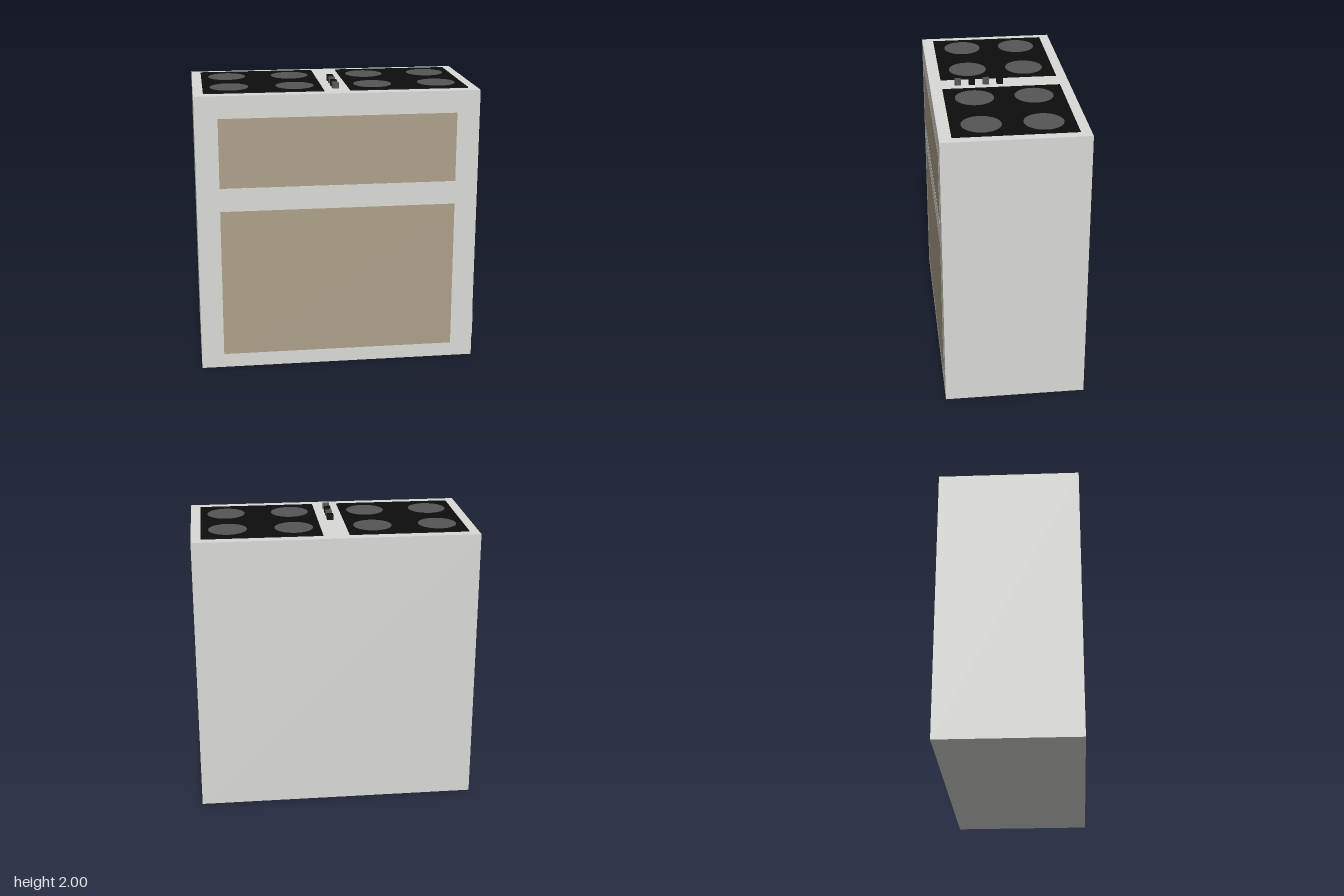
import * as THREE from 'three';

const material = (color) => new THREE.MeshStandardMaterial({ color });

export function createModel() {
  const model = new THREE.Group();
  const enamel = material(0xd9dad5);
  const glass = material(0xaca089);
  const black = material(0x0d0d0d);
  const grey = material(0x555555);

  const add = (name, geometry, mat, x, y, z) => {
    const mesh = new THREE.Mesh(geometry, mat);
    mesh.name = name;
    mesh.position.set(x, y, z);
    model.add(mesh);
    return mesh;
  };
  const box = (name, size, mat, x, y, z) =>
    add(name, new THREE.BoxGeometry(...size), mat, x, y, z);

  const H = 1.96, front = 0.487;

  // Cabinet
  box('cabinet', [1.956, H, 0.974], enamel, 0, H / 2, 0);

  // Grill door, its grip strip and the oven door, almost flush with the front
  box('grillDoor', [1.64, 0.485, 0.004], glass, 0, 1.5625, front);
  box('gripStrip', [1.636, 0.011, 0.006], enamel, 0, 1.314, front);
  box('ovenDoor', [1.64, 1.055, 0.004], glass, 0, 0.6275, front);

  // Small catch low on the left side, with a narrow raised rib
  box('sideCatch', [0.004, 0.168, 0.022], enamel, 0.978, 0.248, 0.475);
  box('sideCatchRib', [0.007, 0.168, 0.01], enamel, 0.978, 0.248, 0.481);

  // Two hobs with four round burners each
  const burner = new THREE.CylinderGeometry(0.133, 0.133, 0.003, 48);
  for (const side of [-1, 1]) {
    box('hob', [0.82, 0.006, 0.82], black, side * 0.5, H + 0.003, -0.005);
    for (const dx of [-0.227, 0.227]) {
      for (const z of [-0.207, 0.2]) {
        add('burner', burner, grey, side * 0.5 + dx, H + 0.0065, z);
      }
    }
  }

  // Row of square knobs between the hobs, alternating in colour
  for (let i = 0; i < 4; i++) {
    box('knob', [0.044, 0.04, 0.044], i % 2 ? grey : black, 0, H + 0.02, -0.003 + i * 0.098);
  }

  return model;
}
